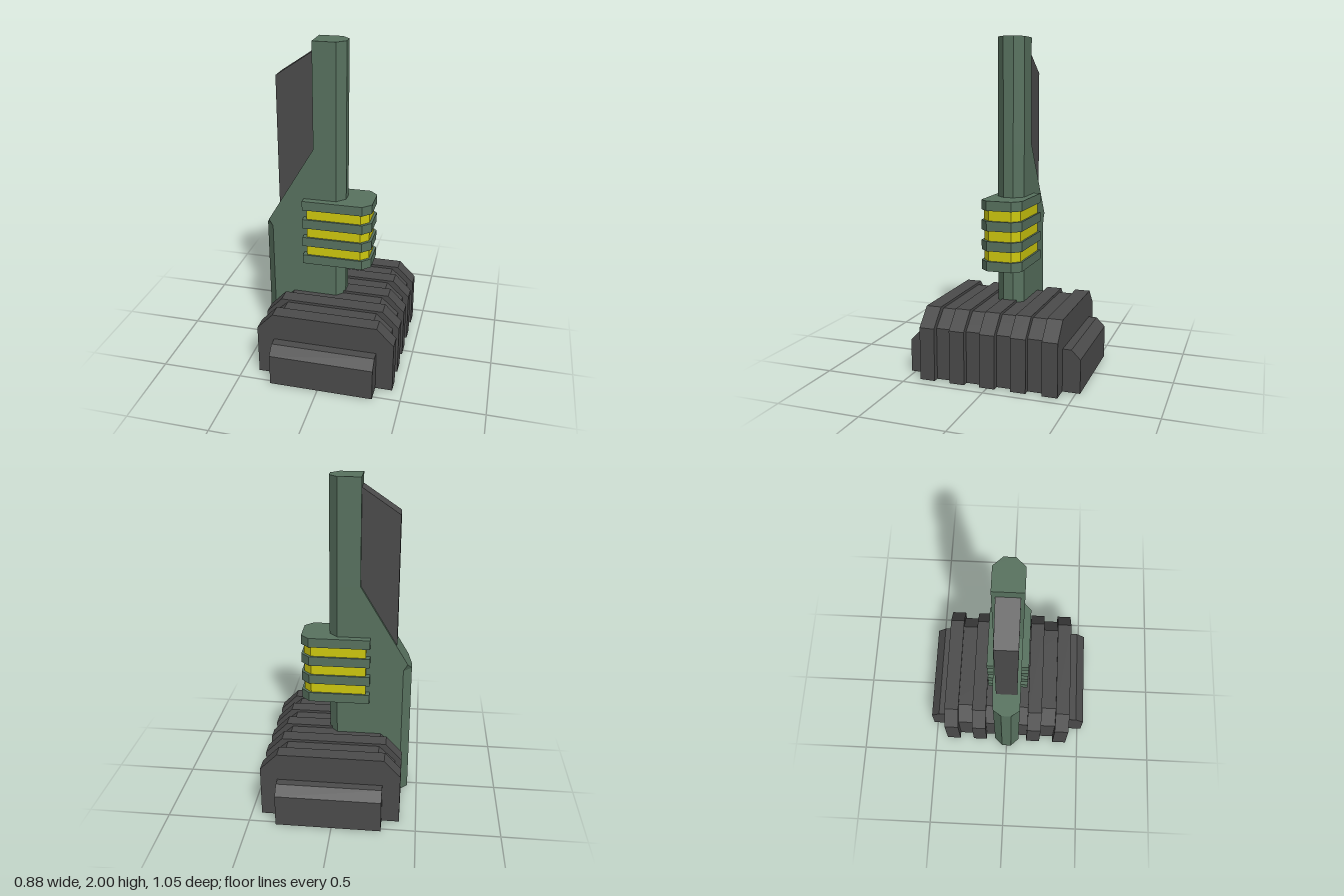
import * as THREE from 'three';
import { ConvexGeometry } from 'three/addons/geometries/ConvexGeometry.js';

const green = new THREE.MeshStandardMaterial({ color: 0x58725f });
const charcoal = new THREE.MeshStandardMaterial({ color: 0x4b4b4b });
const yellow = new THREE.MeshStandardMaterial({ color: 0xcfc90e });
green.name = 'muted green';
charcoal.name = 'charcoal';
yellow.name = 'yellow';

// Extrude an outline of [x, y] points along z, from z0 to z1
function extrude(points, z0, z1) {
  const shape = new THREE.Shape(points.map(([x, y]) => new THREE.Vector2(x, y)));
  return new THREE.ExtrudeGeometry(shape, { depth: z1 - z0, bevelEnabled: false }).translate(0, 0, z0);
}

// Extrude a plan outline upwards, from y0 to y1
const prism = (plan, y0, y1) => extrude(plan, y0, y1).rotateX(-Math.PI / 2);

// Plan symmetric in z: square at the back, chamfered at +x
const nosePlan = (x0, x1, half, nose, cut) =>
  [[x0, -half], [x1 - cut, -half], [x1, -nose], [x1, nose], [x1 - cut, half], [x0, half]];

// Base cross-section with chamfered upper corners
const basePlan = (x0, x1, side, top) =>
  [[x0, 0.002], [x1, 0.002], [x1, side], [x1 - 0.103, top], [x0 + 0.098, top], [x0, side]];

// Convex solid from [x, y, z] points, mirrored across z
const hull = (points) => new ConvexGeometry(
  points.flatMap(([x, y, z]) => [new THREE.Vector3(x, y, z), new THREE.Vector3(x, y, -z)]));

export function createModel() {
  const model = new THREE.Group();
  model.name = 'mastOnRibbedBase';
  const add = (name, geometry, material, parent = model) => {
    const mesh = new THREE.Mesh(geometry, material);
    mesh.name = name;
    parent.add(mesh);
  };
  const group = (name) => {
    const g = new THREE.Group();
    g.name = name;
    model.add(g);
    return g;
  };

  // Ribbed base with a low block running out at both ends
  const base = group('base');
  add('baseCore', extrude(basePlan(-0.36, 0.4, 0.312, 0.406), -0.4, 0.4), charcoal, base);
  for (let i = 0; i < 5; i++) {
    const z = -0.375 + i * 0.1865;
    add('baseRib', extrude(basePlan(-0.4, 0.438, 0.318, 0.422), z - 0.046, z + 0.046), charcoal, base);
  }
  const endProfile = [[-0.525, 0.002], [0.525, 0.002], [0.525, 0.2], [0.472, 0.253], [-0.472, 0.253], [-0.525, 0.2]];
  add('endBlocks', extrude(endProfile, -0.295, 0.335).rotateY(Math.PI / 2).translate(0, 0, 0), charcoal, base);

  // Mast: chamfered foot, sloping shoulder and upright column
  const mast = group('mast');
  const H = 0.083, N = 0.031;
  add('mastFoot', prism([[-0.44, -N], [-0.39, -H], [0.01, -H], [0.06, -N],
    [0.06, N], [0.01, H], [-0.39, H], [-0.44, N]], 0, 0.847), green, mast);
  add('mastShoulder', hull([
    [-0.44, 0.847, N], [-0.39, 0.847, H], [0.01, 0.847, H], [0.06, 0.847, N],
    [-0.415, 0.89, H], [-0.127, 1.37, H], [0.01, 1.37, H], [0.06, 1.37, N],
  ]), green, mast);
  add('mastColumn', prism(nosePlan(-0.127, 0.06, H, N, 0.05), 1.37, 2), green, mast);

  // Dark fin behind the column, resting on the shoulder
  add('fin', extrude([[-0.347, 0.98], [-0.11, 1.37], [-0.11, 1.952], [-0.347, 1.792]], -0.063, 0.063), charcoal);

  // Stack of green plates with yellow bands between them
  const coil = group('coil');
  for (let i = 0; i < 4; i++) {
    const y = 0.635 + i * 0.12;
    add('coilPlate', prism(nosePlan(-0.19, 0.228, 0.126, 0.077, 0.05), y, y + 0.058), green, coil);
    if (i < 3) {
      add('coilBand', prism(nosePlan(-0.165, 0.212, 0.114, 0.069, 0.046), y + 0.058, y + 0.12), yellow, coil);
    }
  }
  return model;
}
